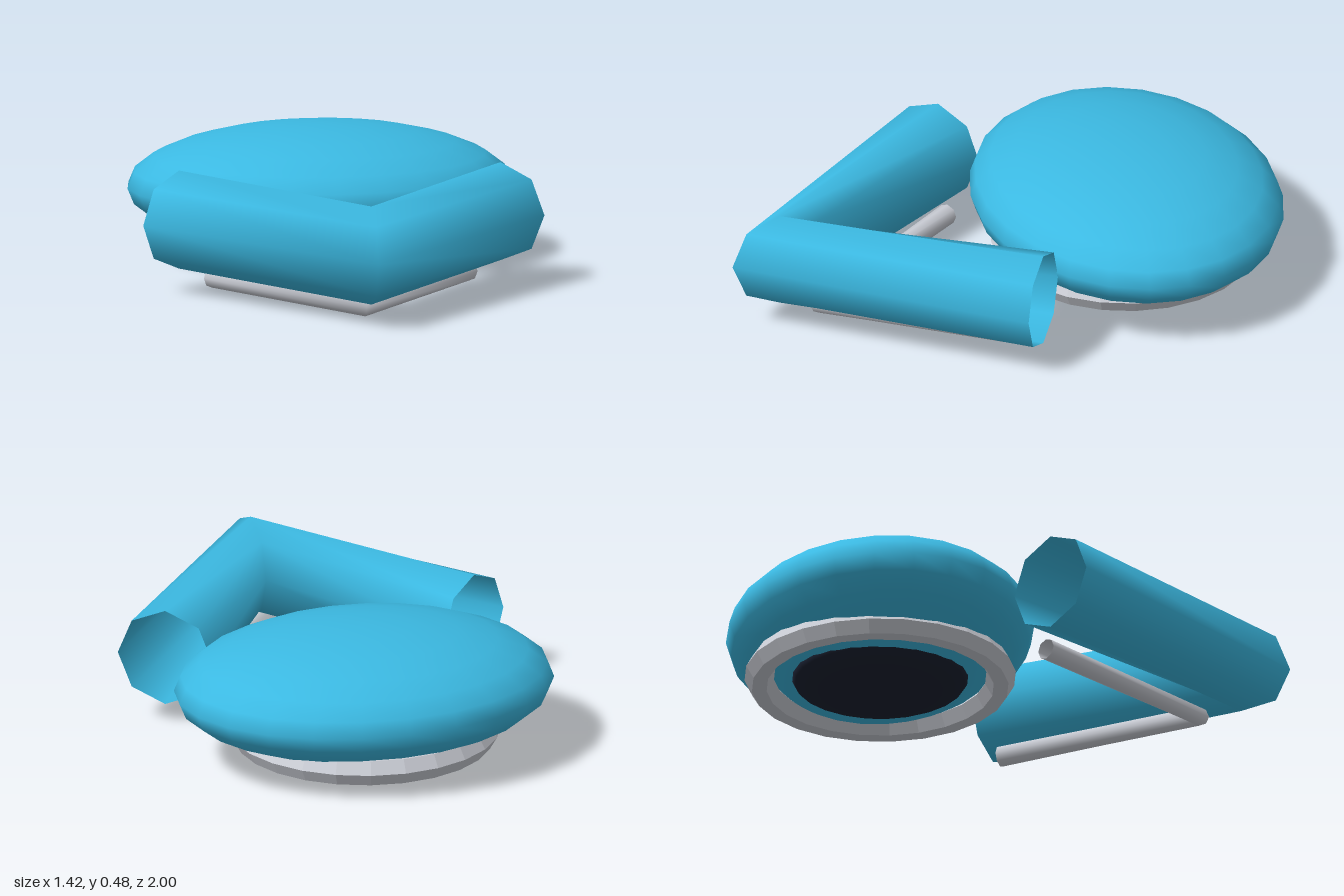
import * as THREE from 'three';

const blue = new THREE.MeshStandardMaterial({ color: 0x3bb9e2, side: THREE.DoubleSide });
blue.name = 'sky blue';
const silver = new THREE.MeshStandardMaterial({ color: 0xc9ccd4, side: THREE.DoubleSide, flatShading: false });
silver.name = 'silver';
const navy = new THREE.MeshStandardMaterial({ color: 0x1a2030 });
navy.name = 'dark navy';

const BODY_Z = -0.4625;

function add(group, name, geometry, material) {
  const mesh = new THREE.Mesh(geometry, material);
  mesh.name = name;
  group.add(mesh);
  return mesh;
}

// Open V-shaped tube: two straight arms meeting at a mitred front tip
function vTube(endX, endZ, tipZ, y, radius) {
  const path = new THREE.CatmullRomCurve3([
    new THREE.Vector3(-endX, y, endZ),
    new THREE.Vector3(0, y, tipZ),
    new THREE.Vector3(endX, y, endZ),
  ]);
  return new THREE.TubeGeometry(path, 2, radius, 8, false);
}

function ellipsoid(rx, ry, rz, y) {
  return new THREE.SphereGeometry(1, 24, 12).scale(rx, ry, rz).translate(0, y, BODY_Z);
}

export function createModel() {
  const model = new THREE.Group();
  model.name = 'model';

  // Flattened body
  add(model, 'body', ellipsoid(0.68, 0.215, 0.5375, 0.265), blue);

  // Faceted ring under the body, with a hexagonal section
  const ring = new THREE.TorusGeometry(0.426, 0.052, 6, 24)
    .rotateX(Math.PI / 2).translate(0, 0.1, BODY_Z).toNonIndexed();
  ring.computeVertexNormals();
  add(model, 'baseRing', ring, silver);

  // Dark dome in the middle of the underside
  add(model, 'undersideDome', ellipsoid(0.31, 0.065, 0.31, 0.09), navy);

  // Thick front bumper and the thin rail below it
  add(model, 'frontBumper', vTube(0.57, 0.042, 0.825, 0.245, 0.175), blue);
  add(model, 'lowerRail', vTube(0.455, 0.047, 0.673, 0.0375, 0.0375), silver);

  return model;
}
